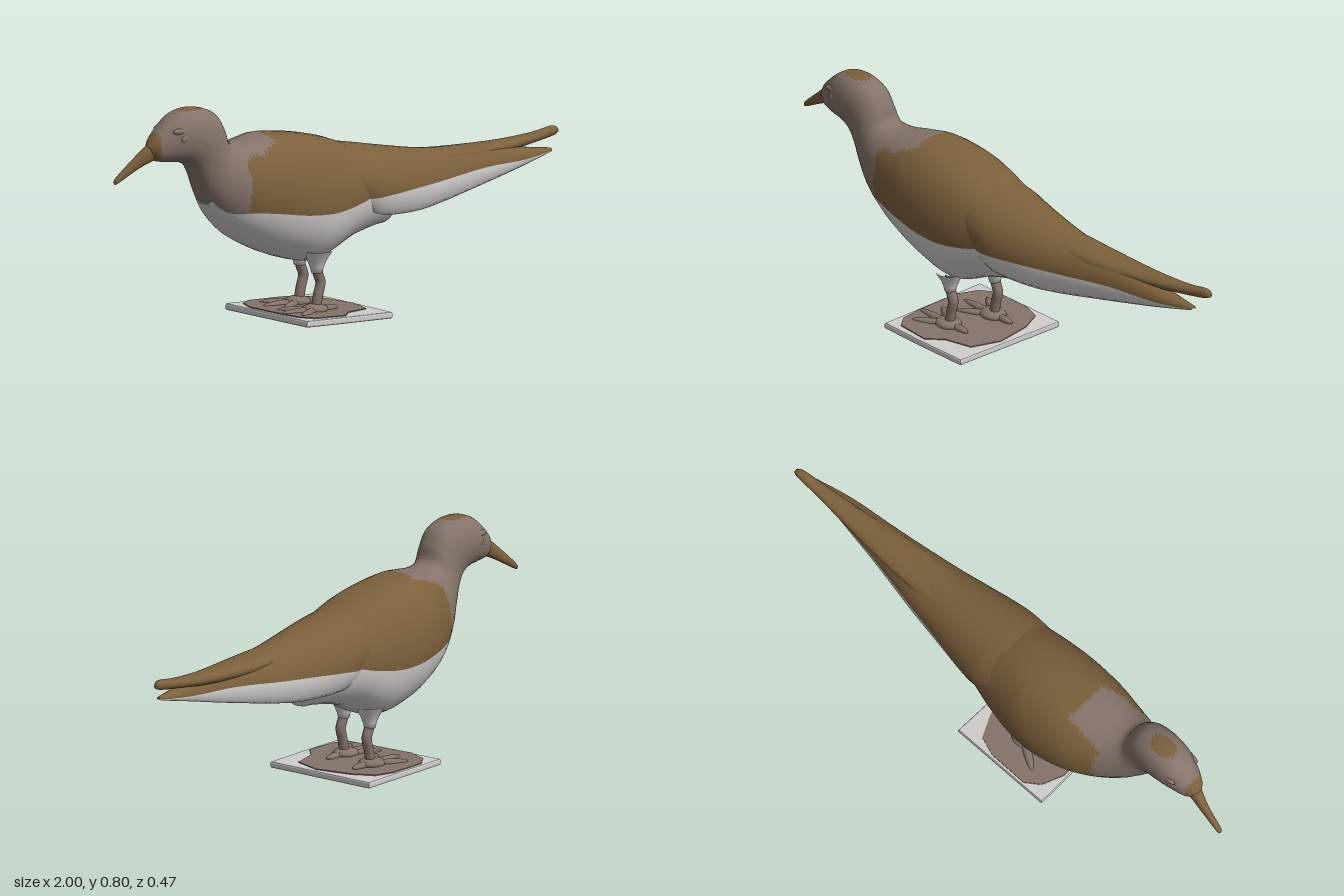
import * as THREE from 'three';

const flat = (name, color) => {
  const m = new THREE.MeshStandardMaterial({ color });
  m.name = name;
  return m;
};

// Catmull-Rom resampling of rows of numbers, n steps between rows
function resample(rows, n) {
  const out = [];
  const row = (i) => rows[Math.min(Math.max(i, 0), rows.length - 1)];
  for (let i = 0; i < rows.length - 1; i++) {
    for (let k = 0; k < n; k++) {
      const t = k / n;
      out.push(row(i).map((p1, c) => {
        const p0 = row(i - 1)[c], p2 = row(i + 1)[c], p3 = row(i + 2)[c];
        return p1 + 0.5 * t * (p2 - p0 + t * (2 * p0 - 5 * p1 + 4 * p2 - p3 + t * (3 * (p1 - p2) + p3 - p0)));
      }));
    }
  }
  out.push(rows[rows.length - 1]);
  return out;
}

// Angles from a to b, end left out
const arc = (a, b, n) => Array.from({ length: n }, (_, i) => a + ((b - a) * i) / n);

// Skin closed rings that follow each other; paint(j, centre) picks the material index
function skin(name, rings, materials, paint) {
  const n = rings[0].length, verts = rings.flat();
  const lists = materials.map(() => []);
  const add = (j, a, b, c) => {
    const mid = new THREE.Vector3().add(verts[a]).add(verts[b]).add(verts[c]).divideScalar(3);
    lists[paint ? paint(j, mid) : 0].push(a, b, c);
  };
  for (let i = 0; i < rings.length - 1; i++) {
    for (let j = 0; j < n; j++) {
      const a = i * n + j, b = i * n + ((j + 1) % n);
      add(j, a, a + n, b);
      add(j, b, a + n, b + n);
    }
  }
  // End caps
  for (const end of [0, rings.length - 1]) {
    const centre = verts.length, base = end * n;
    verts.push(rings[end].reduce((s, p) => s.add(p), new THREE.Vector3()).divideScalar(n));
    for (let j = 0; j < n; j++) {
      const a = base + j, b = base + ((j + 1) % n);
      if (end === 0) add(j, centre, a, b);
      else add(j, centre, b, a);
    }
  }
  const geo = new THREE.BufferGeometry().setFromPoints(verts);
  geo.setIndex(lists.flat());
  let start = 0;
  lists.forEach((l, m) => {
    geo.addGroup(start, l.length, m);
    start += l.length;
  });
  geo.computeVertexNormals();
  const mesh = new THREE.Mesh(geo, materials);
  mesh.name = name;
  return mesh;
}

// Oval ring between a top and a bottom point; t is the height share of the colour line
const UP = 26, LOW = 18;
function ovalRing([xt, yt, xb, yb, zc, hw, t = 0.5]) {
  const a = Math.asin(THREE.MathUtils.clamp(2 * t - 1, -0.93, 0.93));
  const angles = [...arc(a, Math.PI - a, UP), ...arc(Math.PI - a, 2 * Math.PI + a, LOW)];
  return angles.map((q) => {
    const s = (Math.sin(q) + 1) / 2, c = Math.cos(q);
    return new THREE.Vector3(xb + (xt - xb) * s, yb + (yt - yb) * s,
      zc + hw * Math.sign(c) * Math.pow(Math.abs(c), 0.82));
  });
}

export function createModel() {
  const brown = flat('wing brown', 0x7c603c);
  const taupe = flat('head taupe', 0x84736a);
  const white = flat('belly white', 0xcfcecb);
  const bird = new THREE.Group();
  bird.name = 'wadingBird';

  // Head, neck and body: top x y, bottom x y, z centre, half width, height of colour line
  const bodyRows = [
    [-0.872, 0.68, -0.862, 0.645, 0.022, 0.018, 0.45],
    [-0.845, 0.72, -0.838, 0.625, 0.023, 0.042, 0.45],
    [-0.765, 0.786, -0.785, 0.617, 0.025, 0.068, 0.45],
    [-0.68, 0.80, -0.735, 0.61, 0.025, 0.079, 0.45],
    [-0.60, 0.775, -0.70, 0.59, 0.025, 0.08, 0.4],
    [-0.56, 0.72, -0.675, 0.55, 0.023, 0.08, 0.25],
    [-0.54, 0.668, -0.64, 0.48, 0.018, 0.09, 0.06],
    [-0.49, 0.655, -0.585, 0.40, 0.008, 0.117, 0.1],
    [-0.42, 0.662, -0.50, 0.325, -0.008, 0.149, 0.27],
    [-0.337, 0.668, -0.40, 0.27, -0.02, 0.176, 0.34],
    [-0.20, 0.652, -0.28, 0.222, -0.027, 0.19, 0.385],
    [-0.08, 0.625, -0.15, 0.2, -0.026, 0.181, 0.44],
    [0.06, 0.572, 0.0, 0.262, -0.026, 0.153, 0.5],
    [0.20, 0.515, 0.13, 0.287, -0.03, 0.1, 0.75],
    [0.25, 0.45, 0.195, 0.292, -0.037, 0.062, 0.9],
    [0.235, 0.38, 0.21, 0.315, -0.04, 0.025, 0.9],
  ];
  bird.add(skin('headAndBody', resample(bodyRows, 6).map(ovalRing), [brown, taupe, white], (j, p) => {
    if (p.x < -0.84) return 0;
    if (p.x > 0.14) return 2;
    if (j >= UP) return p.x > -0.62 && p.y < 0.5 ? 2 : 1;
    // Grey saddle reaching back over the shoulders, faint crown patch
    const saddle = THREE.MathUtils.clamp((p.y - 0.59) * 2.6, 0, 0.15) * (Math.abs(p.z) < 0.1 ? 1 : 0.3);
    const crown = p.x < -0.62 && p.y > 0.793;
    return p.x < -0.5 + saddle && !crown ? 1 : 0;
  }));

  // Curved beak
  const beakRows = [
    [-1.0, 0.566, -0.999, 0.556, 0.0, 0.004],
    [-0.99, 0.581, -0.985, 0.56, 0.001, 0.01],
    [-0.925, 0.637, -0.905, 0.602, 0.008, 0.015],
    [-0.865, 0.684, -0.845, 0.628, 0.019, 0.024],
    [-0.80, 0.70, -0.80, 0.635, 0.025, 0.03],
  ];
  bird.add(skin('beak', resample(beakRows, 4).map(ovalRing), [brown]));

  const ball = (name, mat, pos, scale) => {
    const m = new THREE.Mesh(new THREE.SphereGeometry(1, 18, 12), mat);
    m.name = name;
    m.position.set(...pos);
    m.scale.set(...scale);
    return m;
  };

  // Closed eyes with a soft brow above
  for (const [name, side] of [['left', 1], ['right', -1]]) {
    bird.add(ball(name + 'Eye', taupe, [-0.757, 0.704, 0.025 + side * 0.064], [0.022, 0.015, 0.011]));
    bird.add(ball(name + 'Brow', taupe, [-0.765, 0.73, 0.025 + side * 0.056], [0.04, 0.012, 0.012]));
  }

  // Folded wings, a shell hollow underneath: x, top y, edge y, z centre, half width, colour line y
  const wingRows = [
    [-0.1, 0.615, 0.42, -0.025, 0.15, 0.43],
    [0.02, 0.595, 0.375, -0.025, 0.162, 0.413],
    [0.1, 0.581, 0.345, -0.022, 0.157, 0.416],
    [0.25, 0.553, 0.338, -0.025, 0.131, 0.424],
    [0.38, 0.533, 0.35, -0.031, 0.108, 0.431],
    [0.6, 0.516, 0.388, -0.038, 0.07, 0.447],
    [0.8, 0.488, 0.428, -0.044, 0.042, 0.449],
    [0.945, 0.468, 0.456, -0.055, 0.012, 0.459],
  ];
  const e = 0.62, EDGE = 6, TOP = 20, INNER = 18;
  const wingRing = ([x, top, edge, zc, hw, line]) => {
    const ry = (top - edge) / (1 + Math.sin(e)), cy = top - ry;
    const a = Math.asin(THREE.MathUtils.clamp((line - cy) / ry, -0.55, 0.9));
    const at = (q, k) => new THREE.Vector3(x, cy + ry * k * Math.sin(q), zc + hw * k * Math.cos(q));
    const outer = [...arc(-e, a, EDGE), ...arc(a, Math.PI - a, TOP), ...arc(Math.PI - a, Math.PI + e, EDGE), Math.PI + e];
    const inner = arc(Math.PI + e, -e, INNER);
    return [...outer.map((q) => at(q, 1)), ...inner.map((q) => at(q, 0.74))];
  };
  bird.add(skin('foldedWings', resample(wingRows, 4).map(wingRing), [brown, taupe, white], (j) =>
    j >= EDGE * 2 + TOP ? 1 : j >= EDGE && j < EDGE + TOP ? 0 : 2));

  // Long upper tail feathers
  const tailRows = [
    [0.3, 0.535, 0.3, 0.47, -0.03, 0.07],
    [0.5, 0.524, 0.5, 0.462, -0.04, 0.066],
    [0.72, 0.519, 0.72, 0.472, -0.06, 0.042],
    [0.88, 0.526, 0.88, 0.49, -0.073, 0.025],
    [0.975, 0.538, 0.975, 0.503, -0.083, 0.017],
    [1.0, 0.527, 1.0, 0.512, -0.086, 0.008],
  ];
  bird.add(skin('tailFeathers', resample(tailRows, 4).map(ovalRing), [brown]));

  // Legs with tapering white thighs and spread toes
  for (const [side, x, z] of [['left', -0.17, 0.072], ['right', -0.12, -0.092]]) {
    const leg = new THREE.Group();
    leg.name = side + 'Leg';
    const path = new THREE.CatmullRomCurve3([[0, 0.23], [0.002, 0.17], [0.016, 0.13], [0.006, 0.09], [-0.004, 0.04]]
      .map(([dx, y]) => new THREE.Vector3(x + dx, y, z)));
    const shin = new THREE.Mesh(new THREE.TubeGeometry(path, 20, 0.018, 12), taupe);
    shin.name = side + 'Shin';
    const profile = [[0.0, 0.165], [0.02, 0.166], [0.024, 0.185], [0.034, 0.21], [0.056, 0.245]];
    const thigh = new THREE.Mesh(new THREE.LatheGeometry(profile.map(([r, y]) => new THREE.Vector2(r, y)), 20), white);
    thigh.name = side + 'Thigh';
    thigh.position.set(x, 0, z);
    leg.add(shin, thigh, ball(side + 'Foot', taupe, [x - 0.01, 0.038, z], [0.05, 0.02, 0.045]));
    for (const [turn, len] of [[-0.55, 0.13], [0, 0.15], [0.55, 0.13], [Math.PI, 0.08]]) {
      const dx = -Math.cos(turn) * len, dz = Math.sin(turn) * len;
      const toe = ball(side + 'Toe', taupe, [x + dx / 2, 0.036, z + dz / 2], [len / 2 + 0.01, 0.013, 0.015]);
      toe.rotation.y = turn;
      leg.add(toe);
    }
    bird.add(leg);
  }

  // Thin, slightly tilted ground plate with an earthy patch on top
  const base = new THREE.Group();
  base.name = 'base';
  const slab = (name, pts, depth, bevel, y, mat) => {
    const shape = new THREE.Shape(pts.map(([x, z]) => new THREE.Vector2(x, -z)));
    const m = new THREE.Mesh(new THREE.ExtrudeGeometry(shape, {
      depth, bevelEnabled: bevel > 0, bevelSize: bevel, bevelThickness: bevel, bevelSegments: 2,
    }), mat);
    m.name = name;
    m.rotation.x = -Math.PI / 2;
    m.position.y = y;
    base.add(m);
  };
  slab('groundPlate', [[-0.328, 0.225], [-0.338, -0.218], [-0.15, -0.225], [0.045, -0.232], [0.04, 0.215], [-0.14, 0.222]],
    0.012, 0.006, 0.008, white);
  slab('earthPatch', [[-0.315, 0.16], [-0.28, 0.205], [-0.15, 0.212], [-0.1, 0.16], [0.0, 0.13], [0.035, 0.02], [0.01, -0.12],
    [-0.03, -0.2], [-0.1, -0.222], [-0.25, -0.218], [-0.3, -0.18], [-0.332, -0.1], [-0.325, 0.08]], 0.004, 0, 0.0255, taupe);
  base.rotation.z = -0.025;
  base.position.y = 0.0005;
  bird.add(base);
  return bird;
}
